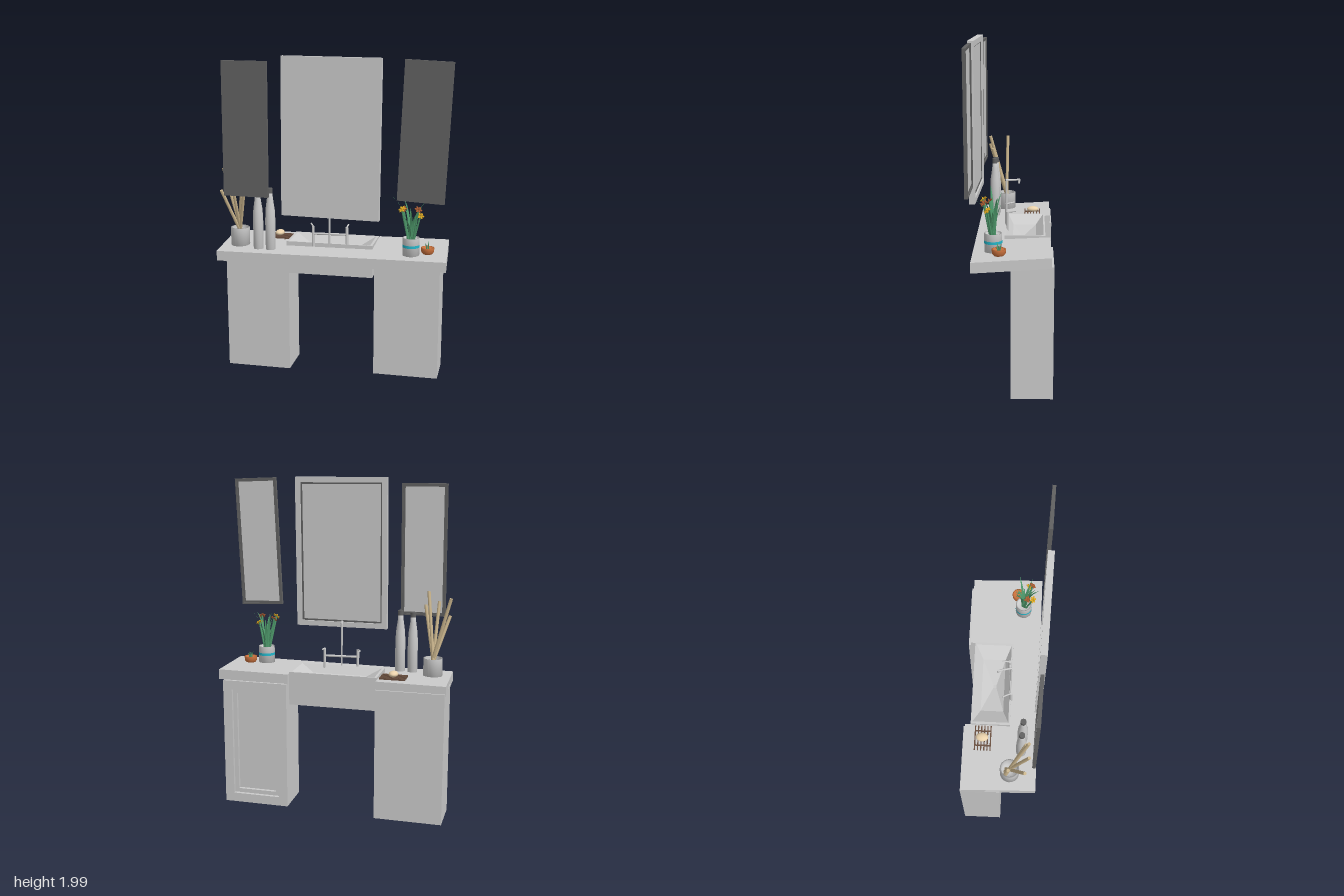
import * as THREE from 'three';

const mat = (color, flat = false, side = THREE.FrontSide) =>
  new THREE.MeshStandardMaterial({ color, flatShading: flat, side });
const grey = mat(0xcccccc);
const facet = mat(0xcccccc, true, THREE.DoubleSide);
const dark = mat(0x626262);
const greyOpen = mat(0xcccccc, false, THREE.DoubleSide);
const wood = mat(0xc9b48c);
const brown = mat(0x6b5040);
const cream = mat(0xead2ac);
const cyan = mat(0x25b8cc);
const leafGreen = mat(0x4f9a6c, false, THREE.DoubleSide);
const terracotta = mat(0xc8703c, false, THREE.DoubleSide);
const rust = mat(0xa85a30, true);
const yellow = mat(0xd9a520, true);
const V = (x, y, z) => new THREE.Vector3(x, y, z);

function add(parent, name, geo, material, x = 0, y = 0, z = 0) {
  const m = new THREE.Mesh(geo, material);
  m.name = name;
  m.position.set(x, y, z);
  parent.add(m);
  return m;
}

function group(parent, name, x = 0, y = 0, z = 0) {
  const g = new THREE.Group();
  g.name = name;
  g.position.set(x, y, z);
  parent.add(g);
  return g;
}

// Box given by its lower and upper corners
const box = (p, name, m, x0, x1, y0, y1, z0, z1) =>
  add(p, name, new THREE.BoxGeometry(x1 - x0, y1 - y0, z1 - z0), m, (x0 + x1) / 2, (y0 + y1) / 2, (z0 + z1) / 2);

// Rectangular frame with an open middle, extruded along z from 0
function frameGeo(w, h, border, depth) {
  const rect = (T, a, b) => new T([[-a, -b], [a, -b], [a, b], [-a, b]].map(q => new THREE.Vector2(...q)));
  const s = rect(THREE.Shape, w / 2, h / 2);
  s.holes.push(rect(THREE.Path, w / 2 - border, h / 2 - border));
  return new THREE.ExtrudeGeometry(s, { depth, bevelEnabled: false });
}

// Straight rod between two points
function rod(p, name, a, b, r, m, sides = 8) {
  const d = b.clone().sub(a);
  const o = add(p, name, new THREE.CylinderGeometry(r, r, d.length(), sides), m);
  o.position.copy(a).add(b).multiplyScalar(0.5);
  o.quaternion.setFromUnitVectors(V(0, 1, 0), d.normalize());
  return o;
}

const lathe = (pts, n = 20) => new THREE.LatheGeometry(pts.map(q => new THREE.Vector2(...q)), n);

function counter(root) {
  // U-shaped slab with a notch for the sink, slightly tilted
  const outline = [[-0.71, -0.23], [-0.3, -0.23], [-0.3, 0.045], [0.235, 0.045],
    [0.235, -0.225], [0.67, -0.225], [0.695, 0.215], [-0.692, 0.215]];
  const s = new THREE.Shape(outline.map(([x, z]) => new THREE.Vector2(x, -z)));
  const g = new THREE.ExtrudeGeometry(s, { depth: 0.06, bevelEnabled: false }).rotateX(-Math.PI / 2);
  const p = g.attributes.position;
  for (let i = 0; i < p.count; i++) p.setY(i, p.getY(i) + 0.78 - 0.05 * p.getZ(i) + 0.008 * p.getX(i));
  g.computeVertexNormals();
  add(root, 'countertop', g, grey);
}

function cabinets(root) {
  box(root, 'plainCabinet', grey, -0.705, -0.3, 0.005, 0.8, -0.24, 0);
  const c = group(root, 'doorCabinet', 0.44, 0.405, 0);
  box(c, 'cabinetBody', grey, -0.2, 0.2, -0.385, 0.39, -0.2, 0);
  add(c, 'doorFrame', frameGeo(0.4, 0.775, 0.055, 0.04), grey, 0, 0.0025, -0.24);
  add(c, 'doorMoulding', frameGeo(0.29, 0.665, 0.025, 0.02), grey, 0, 0.0025, -0.22);
}

function sink(root) {
  const g = group(root, 'sink');
  // Open-topped shell, rim and faceted basin as rings of four corners
  const rings = [
    [-0.3, 0.235, -0.195, 0.045, 0.66], [-0.3, 0.235, -0.195, 0.045, 0.862],
    [-0.285, 0.22, -0.185, 0.035, 0.862], [-0.2, 0.14, -0.14, 0.0, 0.815], [-0.04, -0.02, -0.07, -0.05, 0.79]];
  const pos = [], idx = [];
  for (const [x0, x1, z0, z1, y] of rings) pos.push(x0, y, z1, x1, y, z1, x1, y, z0, x0, y, z0);
  for (let r = 0; r < rings.length - 1; r++)
    for (let i = 0; i < 4; i++) {
      const a = r * 4 + i, b = r * 4 + (i + 1) % 4;
      idx.push(a, b, b + 4, a, b + 4, a + 4);
    }
  const last = (rings.length - 1) * 4;
  idx.push(0, 2, 1, 0, 3, 2, last, last + 1, last + 2, last, last + 2, last + 3);
  const geo = new THREE.BufferGeometry();
  geo.setAttribute('position', new THREE.Float32BufferAttribute(pos, 3));
  geo.setIndex(idx);
  geo.computeVertexNormals();
  add(g, 'basin', geo, facet);

  // Bridge tap: two posts, a cross pipe and a tall bent spout
  const f = group(root, 'faucet');
  for (const [x, z, dx] of [[-0.13, 0.045, -0.025], [0.075, 0.03, 0]]) {
    rod(f, 'tapPost', V(x, 0.84, z), V(x, 0.965, z), 0.009, grey, 12);
    rod(f, 'tapHandle', V(x, 0.965, z), V(x + dx, 0.97, z - 0.05), 0.005, grey);
  }
  rod(f, 'crossPipe', V(-0.13, 0.92, 0.045), V(0.075, 0.92, 0.03), 0.007, grey, 10);
  rod(f, 'spoutRiser', V(-0.03, 0.84, 0.04), V(-0.03, 1.14, 0.04), 0.006, grey, 10);
  rod(f, 'spoutArm', V(-0.03, 1.137, 0.045), V(-0.05, 1.137, -0.04), 0.006, grey, 10);
  rod(f, 'spoutTip', V(-0.05, 1.142, -0.036), V(-0.05, 1.115, -0.036), 0.007, grey, 10);
}

// Framed mirror: closed on +z, glass recessed on -z
function mirror(root, name, x, y, z, w, h, depth, roll, border, caseMat) {
  const g = group(root, name, x, y, z);
  g.rotation.set(0, -0.035, roll);
  box(g, 'backing', caseMat, -w / 2, w / 2, -h / 2, h / 2, depth * 0.2, depth / 2);
  add(g, 'mirrorFrame', frameGeo(w, h, border, depth * 0.7), caseMat, 0, 0, -depth / 2);
  const iw = w - 2 * border, ih = h - 2 * border;
  add(g, 'innerTrim', frameGeo(iw, ih, 0.01, depth * 0.4), dark, 0, 0, -depth * 0.2);
  box(g, 'glass', grey, -iw / 2, iw / 2, -ih / 2, ih / 2, -depth * 0.1, depth * 0.25);
}

function countertopItems(root) {
  // Cup with reed sticks
  const cup = group(root, 'stickCup', -0.59, 0.825, 0.055);
  add(cup, 'cup', lathe([[0, 0], [0.058, 0], [0.058, 0.115], [0.05, 0.115], [0.05, 0.02], [0, 0.02]]), greyOpen);
  for (const [x, y, z] of [[-0.1, 0.48, -0.005], [-0.085, 0.36, 0.09], [0.05, 0.5, 0.105], [-0.015, 0.44, 0.11], [0.065, 0.42, 0.09]])
    rod(cup, 'stick', V(-x * 0.25, 0.02, -z * 0.25), V(x, y, z), 0.01, wood);

  // Two bottles
  for (const [x, z, h] of [[-0.455, 0.12, 1], [-0.377, 0.125, 1.02]]) {
    const b = group(root, 'bottle', x, 0.83, z);
    b.scale.y = h;
    add(b, 'bottleBody', lathe([[0, 0], [0.03, 0], [0.031, 0.17], [0.028, 0.24], [0.018, 0.31], [0.015, 0.35], [0, 0.35]]), grey);
    add(b, 'bottleCap', new THREE.CylinderGeometry(0.017, 0.017, 0.03, 16), dark, 0, 0.355, 0);
  }

  // Slatted dish with soap
  const dish = group(root, 'soapDish', -0.385, 0.846, -0.115);
  for (let i = 0; i < 6; i++)
    box(dish, 'slat', brown, -0.077, 0.077, 0, 0.01, -0.052 + i * 0.019, -0.045 + i * 0.019);
  for (const x of [-0.045, 0.045]) box(dish, 'crossBar', brown, x - 0.004, x + 0.004, -0.004, 0.004, -0.052, 0.05);
  add(dish, 'soap', new THREE.SphereGeometry(1, 20, 14), cream, 0, 0.026, -0.005).scale.set(0.028, 0.018, 0.038);
}

// Leaf: tapered strip bending out from the base to the tip
function leaf(p, angle, reach, height, width) {
  const g = new THREE.PlaneGeometry(1, 1, 2, 8), a = g.attributes.position;
  for (let i = 0; i < a.count; i++) {
    const t = a.getY(i) + 0.5, s = a.getX(i);
    a.setXYZ(i, 0.012 + reach * t * t, height * (1.25 * t - 0.25 * t ** 3),
      s * width * (1 - t * t) + 0.0);
  }
  g.computeVertexNormals();
  add(p, 'leaf', g, leafGreen).rotation.y = angle;
}

function plants(root) {
  const pot = group(root, 'flowerPot', 0.475, 0.835, 0.1);
  add(pot, 'pot', lathe([[0, 0], [0.05, 0], [0.05, 0.108], [0.043, 0.108], [0.043, 0.09], [0, 0.09]]), greyOpen);
  add(pot, 'potBand', new THREE.CylinderGeometry(0.0515, 0.0515, 0.016, 24, 1, true), cyan, 0, 0.06, 0);
  const leaves = group(pot, 'leaves', 0, 0.09, 0);
  for (let i = 0; i < 11; i++)
    leaf(leaves, i * 2.4, 0.04 + (i % 3) * 0.02, 0.15 + (i * 5 % 7) * 0.018, 0.02);
  leaf(leaves, 3.3, 0.115, 0.27, 0.018);
  for (const [x, y, z, m] of [[-0.045, 0.28, 0.02, rust], [0.045, 0.29, 0.05, rust], [-0.05, 0.29, 0.055, yellow], [0.055, 0.25, 0.03, yellow]]) {
    rod(pot, 'stem', V(x * 0.3, 0.09, z * 0.3), V(x, y, z), 0.006, leafGreen, 6);
    const f = group(pot, 'flower', x, y, z);
    add(f, 'flowerCentre', new THREE.ConeGeometry(0.009, 0.02, 8), m, 0, 0.008, 0);
    for (let k = 0; k < 6; k++) {
      const a = k * Math.PI / 3;
      const petal = add(f, 'petal', new THREE.SphereGeometry(1, 6, 4), m, Math.cos(a) * 0.013, 0, Math.sin(a) * 0.013);
      petal.scale.set(0.012, 0.004, 0.007);
      petal.rotation.y = -a;
    }
    f.rotation.set(0.7, 0, x > 0 ? -0.4 : 0.4);
  }

  // Small terracotta bowl with a sprout
  const bowl = group(root, 'smallPot', 0.57, 0.838, 0.065);
  add(bowl, 'bowl', lathe([[0, 0], [0.026, 0], [0.038, 0.015], [0.04, 0.04], [0.033, 0.04], [0.03, 0.03], [0, 0.028]]), terracotta);
  const sprout = group(bowl, 'sprout', 0, 0.028, 0);
  sprout.scale.setScalar(0.8);
  for (let i = 0; i < 5; i++) leaf(sprout, i * 1.26, 0.012, 0.045 + (i % 2) * 0.015, 0.012);
}

export function createModel() {
  const root = new THREE.Group();
  root.name = 'washstand';
  counter(root);
  cabinets(root);
  sink(root);
  mirror(root, 'centreMirror', 0.017, 1.53, 0.218, 0.583, 0.925, 0.036, -0.009, 0.032, grey);
  mirror(root, 'rightMirror', -0.499, 1.565, 0.199, 0.275, 0.795, 0.02, -0.005, 0.01, dark);
  mirror(root, 'leftMirror', 0.558, 1.583, 0.229, 0.272, 0.795, 0.02, -0.043, 0.01, dark);
  countertopItems(root);
  plants(root);
  return root;
}
